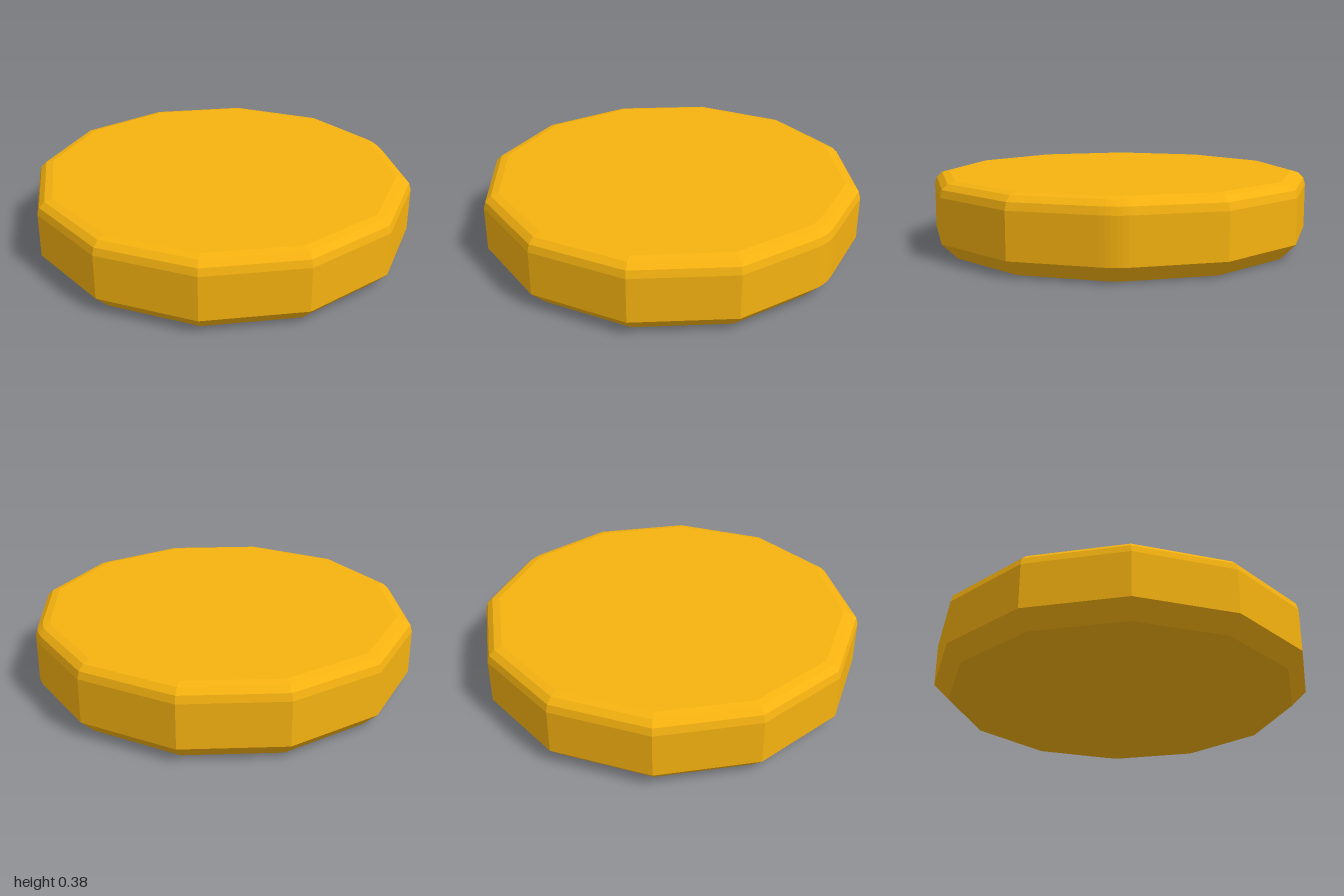
import * as THREE from 'three';

const SIDES = 12;
const CORNER = 1; // index of the one softened corner
const FILLET = 0.3;
const ARC_STEPS = 6;
const HALF = Math.PI / SIDES;

// Twelve-sided outline, moved inward by inset, with one rounded corner
function outline(inset) {
  const radius = 1 - inset;
  const points = [];
  for (let i = 0; i < SIDES; i++) {
    const a = 2 * HALF * i;
    if (i !== CORNER) {
      points.push([radius * Math.cos(a), radius * Math.sin(a)]);
      continue;
    }
    const r = FILLET - inset * Math.cos(HALF);
    const d = radius - r / Math.cos(HALF);
    for (let k = 0; k <= ARC_STEPS; k++) {
      const t = a - HALF + (2 * HALF * k) / ARC_STEPS;
      points.push([d * Math.cos(a) + r * Math.cos(t), d * Math.sin(a) + r * Math.sin(t)]);
    }
  }
  return points;
}

// Stack of outlines joined by walls and closed by flat caps
function loft(profile) {
  const positions = [];
  const index = [];
  const n = outline(0).length;
  for (const [inset, y] of profile) {
    for (const [x, z] of outline(inset)) positions.push(x, y, z);
  }
  const last = (profile.length - 1) * n;
  const bottom = positions.length / 3;
  positions.push(0, profile[0][1], 0, 0, profile[profile.length - 1][1], 0);
  for (let i = 0; i < n; i++) {
    const j = (i + 1) % n;
    for (let row = 0; row < last; row += n) {
      const a = row + i, b = row + j;
      index.push(a, a + n, b, b, a + n, b + n);
    }
    index.push(bottom, i, j, bottom + 1, last + j, last + i);
  }
  const geometry = new THREE.BufferGeometry();
  geometry.setAttribute('position', new THREE.Float32BufferAttribute(positions, 3));
  geometry.setIndex(index);
  const flat = geometry.toNonIndexed();
  flat.computeVertexNormals();
  return flat;
}

export function createModel() {
  const group = new THREE.Group();
  group.name = 'disc';

  // Chamfered foot and straight wall
  const profile = [[0.08, 0], [0, 0.08]];
  // Rounded upper rim
  for (let k = 0; k <= 3; k++) {
    const t = (k * Math.PI) / 6;
    profile.push([0.08 * (1 - Math.cos(t)), 0.31 + 0.075 * Math.sin(t)]);
  }

  const material = new THREE.MeshStandardMaterial({ color: 0xf5b210, flatShading: true });
  const body = new THREE.Mesh(loft(profile), material);
  body.name = 'discBody';
  body.scale.x = 0.995;
  body.position.x = -0.006;
  group.add(body);
  return group;
}
